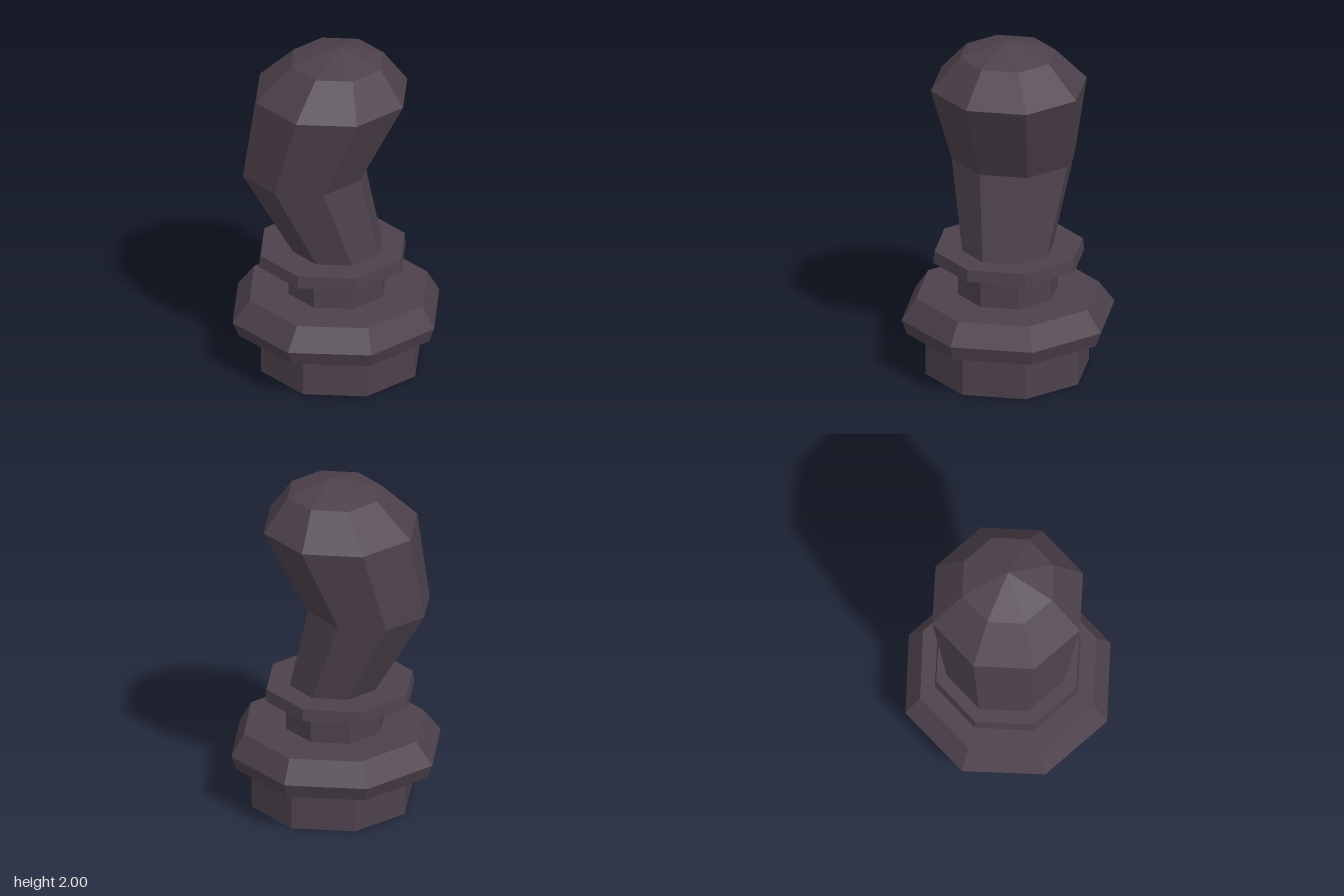
import * as THREE from 'three';

const SIDES = 8;

// Faceted loft through octagonal rings [y, centreX, radius], bottom to top; radius 0 closes it.
function loft(name, rings, material, turn = 0) {
  const point = ([y, cx, r], k) => {
    const a = ((k + 0.5) / SIDES) * Math.PI * 2 + turn;
    return [cx + r * Math.cos(a), y, -r * Math.sin(a)];
  };
  const pos = [];
  for (let i = 0; i < rings.length - 1; i++) {
    const lo = rings[i], hi = rings[i + 1];
    for (let k = 0; k < SIDES; k++) {
      if (lo[2] > 0) pos.push(...point(lo, k), ...point(lo, k + 1), ...point(hi, k + 1));
      if (hi[2] > 0) pos.push(...point(lo, k), ...point(hi, k + 1), ...point(hi, k));
    }
  }
  const geometry = new THREE.BufferGeometry();
  geometry.setAttribute('position', new THREE.Float32BufferAttribute(pos, 3));
  geometry.computeVertexNormals();
  const mesh = new THREE.Mesh(geometry, material);
  mesh.name = name;
  return mesh;
}

export function createModel() {
  const group = new THREE.Group();
  group.name = 'carvedPost';
  const darkStone = new THREE.MeshStandardMaterial({ color: 0x4d414c, flatShading: true });
  darkStone.name = 'dark plum stone';

  group.add(
    // Plain octagonal foot
    loft('foot', [[0, 0.025, 0], [0, 0.025, 0.471], [0.25, 0.025, 0.471]], darkStone),
    // Wide bevelled flange
    loft('flange', [
      [0.25, 0.003, 0], [0.25, 0.003, 0.583], [0.335, 0, 0.615],
      [0.465, 0.013, 0.528], [0.465, 0.013, 0],
    ], darkStone, 0.009),
    // Narrow neck
    loft('neck', [[0.465, 0.005, 0.288], [0.66, 0.005, 0.288]], darkStone),
    // Thin collar
    loft('collar', [
      [0.66, -0.022, 0], [0.66, -0.022, 0.436], [0.73, -0.02, 0.428], [0.73, -0.02, 0],
    ], darkStone),
    // Bent, swelling grip with a domed end
    loft('grip', [
      [0.73, 0.008, 0.263], [1.22, -0.185, 0.357], [1.715, -0.025, 0.45],
      [1.915, 0.008, 0.274], [2, 0.027, 0],
    ], darkStone),
  );
  return group;
}
